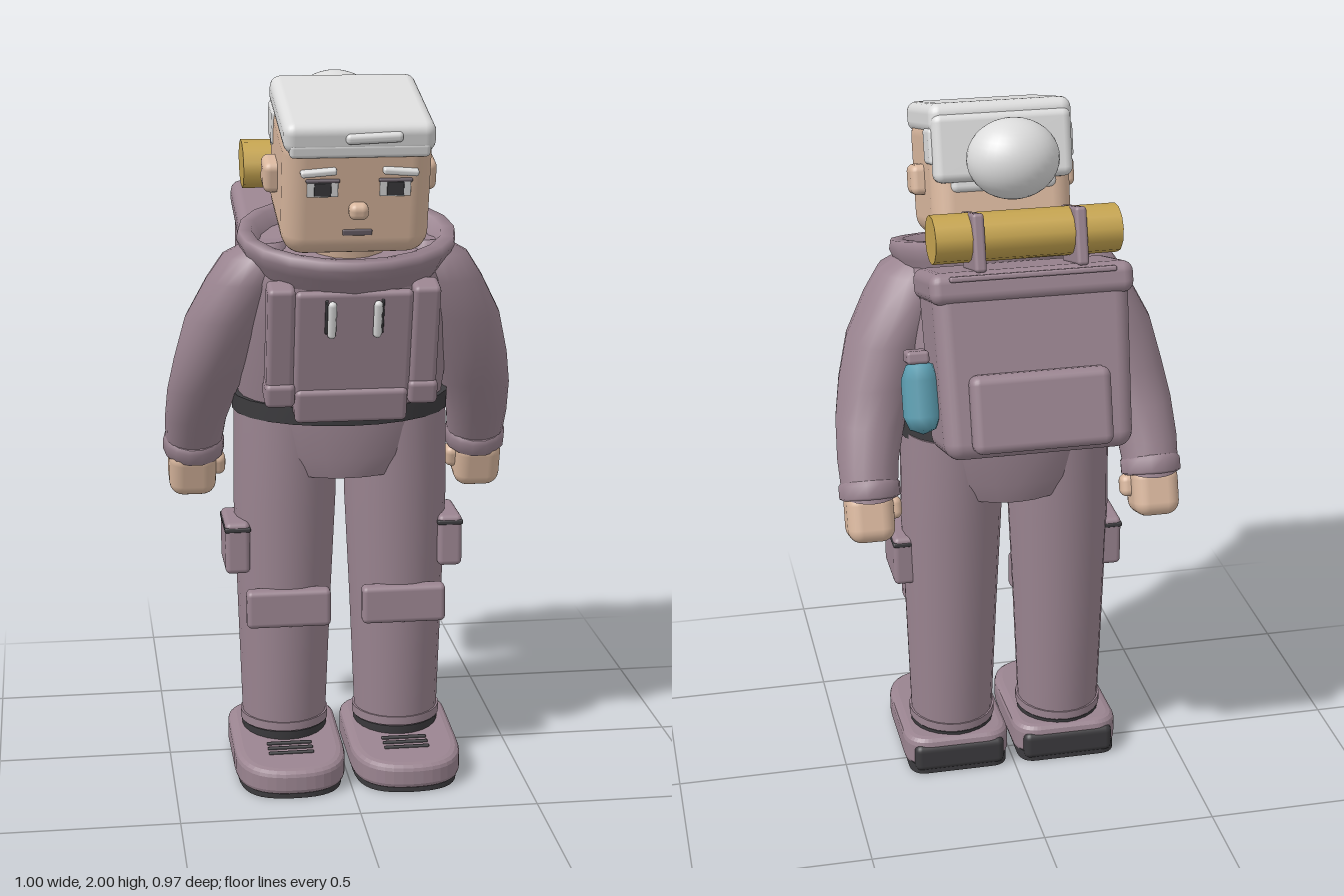
import * as THREE from 'three';
import { RoundedBoxGeometry } from 'three/addons/geometries/RoundedBoxGeometry.js';

const mat = (name, color) => {
  const m = new THREE.MeshStandardMaterial({ color });
  m.name = name;
  return m;
};

export function createModel() {
  const cloth = mat('mauve cloth', 0x9a8490);
  const skin = mat('skin', 0xd9b79e);
  const white = mat('white hair', 0xdcdcdc);
  const dark = mat('dark rubber', 0x3c3b3e);
  const yellow = mat('yellow mat', 0xc5a450);
  const teal = mat('teal bottle', 0x5c9db0);
  const grey = mat('mouth grey', 0x6a6068);

  const root = new THREE.Group();
  root.name = 'hiker';

  const add = (parent, name, geo, m, x = 0, y = 0, z = 0, rx = 0, ry = 0, rz = 0) => {
    const mesh = new THREE.Mesh(geo, m);
    mesh.name = name;
    mesh.position.set(x, y, z);
    mesh.rotation.set(rx, ry, rz);
    parent.add(mesh);
    return mesh;
  };
  const box = (w, h, d, r = 0.015) => new RoundedBoxGeometry(w, h, d, 3, Math.min(r, w / 2.01, h / 2.01, d / 2.01));
  const group = (name, parent, x, y, z, rx = 0) => {
    const g = new THREE.Group();
    g.name = name;
    g.position.set(x, y, z);
    g.rotation.x = rx;
    parent.add(g);
    return g;
  };

  // Capped skin over elliptical rings [x, y, z, rx, rz], bottom to top
  const loft = (rings, n = 24) => {
    const pos = [], idx = [];
    const ring = ([x, y, z, a, b]) => {
      for (let j = 0; j <= n; j++) {
        const t = (j / n) * Math.PI * 2;
        pos.push(x + a * Math.cos(t), y, z + b * Math.sin(t));
      }
    };
    rings.forEach(ring);
    const w = n + 1;
    for (let i = 0; i < rings.length - 1; i++) {
      for (let j = 0; j < n; j++) {
        const a = i * w + j, c = a + w;
        idx.push(a, c, a + 1, a + 1, c, c + 1);
      }
    }
    [rings[0], rings[rings.length - 1]].forEach((r, top) => {
      const s = pos.length / 3;
      ring(r);
      pos.push(r[0], r[1], r[2]);
      for (let j = 0; j < n; j++) idx.push(s + w, top ? s + j + 1 : s + j, top ? s + j : s + j + 1);
    });
    const g = new THREE.BufferGeometry();
    g.setAttribute('position', new THREE.Float32BufferAttribute(pos, 3));
    g.setIndex(idx);
    g.computeVertexNormals();
    return g;
  };

  // Flat shoe outline, extruded upwards
  const shoeSlab = (half, back, front, depth, bevel) => {
    const h = half - bevel, b = back + bevel, f = front - bevel;
    const s = new THREE.Shape();
    s.moveTo(-h + 0.05, -b);
    s.lineTo(h - 0.05, -b);
    s.quadraticCurveTo(h, -b, h, -b - 0.06);
    s.lineTo(h, -0.2);
    s.bezierCurveTo(h, -f + 0.04, h * 0.7, -f, 0, -f);
    s.bezierCurveTo(-h * 0.7, -f, -h, -f + 0.04, -h, -0.2);
    s.lineTo(-h, -b - 0.06);
    s.quadraticCurveTo(-h, -b, -h + 0.05, -b);
    const g = new THREE.ExtrudeGeometry(s, {
      depth: depth - 2 * bevel, bevelEnabled: bevel > 0, bevelSize: bevel,
      bevelThickness: bevel, bevelSegments: 3, curveSegments: 10,
    });
    return g.translate(0, 0, bevel).rotateX(-Math.PI / 2);
  };

  // Legs, shoes, arms and hands, mirrored
  for (const s of [1, -1]) {
    const side = s > 0 ? 'left' : 'right';
    const leg = group(side + 'Leg', root, s * 0.165, 0, 0.05);
    add(leg, 'trouserLeg', loft([
      [0, 0.11, 0, 0.122, 0.128], [0, 0.15, 0, 0.122, 0.13], [-s * 0.002, 0.5, 0, 0.135, 0.145],
      [-s * 0.005, 0.8, 0, 0.147, 0.155], [-s * 0.01, 1.08, 0, 0.148, 0.165]]), cloth);
    add(leg, 'trouserHem', loft([[0, 0.125, 0, 0.128, 0.134], [0, 0.15, 0, 0.128, 0.134]]), cloth);
    add(leg, 'ankleBand', loft([[0, 0.09, 0, 0.122, 0.128], [0, 0.122, 0, 0.125, 0.132]]), dark);
    add(leg, 'kneePad', box(0.24, 0.11, 0.05), cloth, 0, 0.505, 0.14);
    add(leg, 'cargoPocket', box(0.07, 0.15, 0.18), cloth, s * 0.14, 0.675, 0.025);
    add(leg, 'pocketTrim', box(0.074, 0.014, 0.184, 0.005), dark, s * 0.14, 0.73, 0.025);

    const shoe = group(side + 'Shoe', root, s * 0.167, 0, 0);
    add(shoe, 'sole', shoeSlab(0.148, -0.1, 0.375, 0.03, 0), dark);
    const upper = shoeSlab(0.158, -0.098, 0.385, 0.105, 0.025);
    const p = upper.attributes.position;
    for (let i = 0; i < p.count; i++) {
      // lower the top towards the toe
      const k = 1 - 0.3 * Math.max(0, (p.getZ(i) + 0.1) / 0.48);
      p.setY(i, p.getY(i) * k);
    }
    upper.computeVertexNormals();
    add(shoe, 'shoeUpper', upper, cloth, 0, 0.01, 0);
    add(shoe, 'heelGuard', box(0.27, 0.085, 0.06, 0.02), dark, 0, 0.05, -0.075);
    for (let i = 0; i < 3; i++) {
      add(shoe, 'lace', box(0.13, 0.01, 0.012, 0.004), dark, 0, 0.097 - i * 0.0025, 0.205 + i * 0.03);
    }

    const arm = group(side + 'Arm', root, 0, 0, 0);
    add(arm, 'sleeve', loft([
      [s * 0.412, 0.93, -0.055, 0.08, 0.08], [s * 0.408, 1.02, -0.01, 0.088, 0.092],
      [s * 0.39, 1.12, 0.045, 0.1, 0.105], [s * 0.362, 1.22, 0.09, 0.11, 0.115],
      [s * 0.322, 1.34, 0.12, 0.12, 0.13], [s * 0.27, 1.45, 0.145, 0.115, 0.135],
      [s * 0.24, 1.52, 0.16, 0.1, 0.115], [s * 0.22, 1.56, 0.17, 0.05, 0.06]], 20), cloth);
    add(arm, 'cuff', loft([
      [0, -0.025, 0, 0.075, 0.075], [0, -0.018, 0, 0.088, 0.088],
      [0, 0.018, 0, 0.088, 0.088], [0, 0.03, 0, 0.078, 0.08]], 14), cloth, s * 0.412, 0.935, -0.052, 0.4);
    add(arm, 'hand', box(0.135, 0.15, 0.14, 0.04), skin, s * 0.417, 0.865, -0.065, 0.3);
    add(arm, 'thumb', box(0.05, 0.065, 0.055, 0.02), skin, s * 0.347, 0.875, -0.05, 0.3);
  }

  // Hips, jacket hem and belt
  add(root, 'hips', loft([
    [0, 0.89, 0.05, 0.2, 0.175], [0, 0.95, 0.05, 0.25, 0.19],
    [0, 1.06, 0.05, 0.295, 0.2], [0, 1.1, 0.05, 0.3, 0.2]]), cloth);
  add(root, 'belt', loft([[0, -0.025, 0, 0.308, 0.213], [0, 0.025, 0, 0.308, 0.213]]), dark, 0, 1.087, 0.055, 0.05);

  // Upper body leans forward from the waist
  const body = group('upperBody', root, 0, 1.08, 0.05, 0.25);
  add(body, 'jacket', loft([
    [0, 0.03, 0, 0.29, 0.205], [0, 0.15, 0, 0.3, 0.212], [0, 0.3, 0, 0.305, 0.215],
    [0, 0.42, 0, 0.3, 0.215], [0, 0.49, 0, 0.25, 0.2]]), cloth);
  const collarProfile = [[0.26, 0.42], [0.29, 0.475], [0.303, 0.505], [0.298, 0.53], [0.262, 0.53], [0.235, 0.48]];
  const collar = new THREE.LatheGeometry(collarProfile.map(([r, y]) => new THREE.Vector2(r, y)), 20);
  add(body, 'collar', collar.scale(1, 1, 0.79), cloth, 0, 0, 0.01);
  add(body, 'chestPanel', box(0.32, 0.33, 0.03), cloth, 0, 0.27, 0.208);
  add(body, 'pouch', box(0.31, 0.1, 0.07), cloth, 0, 0.095, 0.2);
  for (const s of [1, -1]) {
    add(body, 'shoulderStrap', box(0.075, 0.33, 0.08), cloth, s * 0.197, 0.28, 0.185);
    add(body, 'strapBuckle', box(0.082, 0.07, 0.09), cloth, s * 0.197, 0.13, 0.19);
    add(body, 'drawstring', new THREE.CapsuleGeometry(0.012, 0.085, 4, 8), white, s * 0.062, 0.36, 0.234);
    add(body, 'drawstringShadowCord', box(0.008, 0.1, 0.01, 0.003), dark, s * 0.076, 0.365, 0.223);
  }

  // Head, face and hair
  const head = group('head', body, 0, 0, 0.015);
  const skull = box(0.395, 0.345, 0.39, 0.06);
  const sp = skull.attributes.position;
  for (let i = 0; i < sp.count; i++) {
    // the lower back narrows
    if (sp.getZ(i) < 0) sp.setZ(i, sp.getZ(i) * (0.95 + sp.getY(i) * 0.35));
  }
  add(head, 'skull', skull, skin, 0, 0.7, 0);
  add(head, 'neck', new THREE.CylinderGeometry(0.12, 0.12, 0.12, 16), skin, 0, 0.51, -0.01);
  add(head, 'nose', box(0.052, 0.045, 0.045, 0.018), skin, 0, 0.67, 0.205);
  add(head, 'mouth', box(0.08, 0.018, 0.012, 0.005), grey, 0, 0.605, 0.193);
  for (const s of [1, -1]) {
    add(head, 'ear', box(0.06, 0.085, 0.095, 0.02), skin, s * 0.205, 0.695, -0.005);
    add(head, 'eyeWhite', box(0.082, 0.045, 0.008, 0.003), white, s * 0.096, 0.73, 0.196);
    add(head, 'pupil', box(0.045, 0.037, 0.006, 0.002), dark, s * 0.096, 0.73, 0.2);
    add(head, 'eyelid', box(0.09, 0.009, 0.012, 0.004), grey, s * 0.096, 0.753, 0.198);
    add(head, 'eyebrow', box(0.095, 0.018, 0.03, 0.007), white, s * 0.108, 0.778, 0.198, 0, 0, -s * 0.08);
    add(head, 'sideburn', box(0.03, 0.1, 0.1, 0.012), white, s * 0.188, 0.79, -0.135);
  }
  add(head, 'hairTop', box(0.4, 0.085, 0.405, 0.03), white, 0, 0.865, 0);
  add(head, 'hairFringe', box(0.37, 0.04, 0.04, 0.012), white, 0, 0.835, 0.183);
  add(head, 'hairBack', box(0.39, 0.19, 0.07, 0.025), white, 0, 0.785, -0.178);
  add(head, 'hairBackLower', box(0.3, 0.06, 0.05, 0.02), white, 0, 0.69, -0.168);
  add(head, 'hairTuft', box(0.15, 0.028, 0.03, 0.012), white, 0.035, 0.872, 0.2, 0, 0, 0.04);
  add(root, 'hairBun', new THREE.SphereGeometry(1, 32, 20).scale(0.127, 0.11, 0.108), white, 0, 1.887, -0.065);

  // Backpack with bedroll and bottle
  const pack = group('backpack', root, 0, 1.38, -0.238, 0.28);
  const bag = box(0.53, 0.5, 0.28, 0.045);
  const bp = bag.attributes.position;
  for (let i = 0; i < bp.count; i++) bp.setX(i, bp.getX(i) * (0.99 + bp.getY(i) * 0.08));
  add(pack, 'bag', bag, cloth);
  add(pack, 'lid', box(0.552, 0.085, 0.305, 0.03), cloth, 0, 0.21, 0);
  add(pack, 'lidSeam', box(0.45, 0.015, 0.02, 0.006), cloth, 0, 0.235, -0.152);
  add(pack, 'backPocket', box(0.38, 0.21, 0.07, 0.025), cloth, 0, -0.125, -0.155);
  const roll = new THREE.CylinderGeometry(1, 1, 0.505, 12).rotateZ(Math.PI / 2).scale(1, 0.066, 0.086);
  add(pack, 'bedroll', roll, yellow, 0, 0.337, -0.057);
  for (const s of [1, -1]) {
    add(pack, 'bedrollStrap', box(0.032, 0.155, 0.185, 0.01), cloth, s * 0.138, 0.325, -0.057);
  }
  const bottle = new THREE.CapsuleGeometry(0.052, 0.1, 2, 10);
  add(pack, 'bottle', bottle, teal, 0.3, -0.08, -0.03);
  add(pack, 'bottleCap', box(0.062, 0.035, 0.075, 0.01), cloth, 0.305, 0.028, -0.02);

  return root;
}
